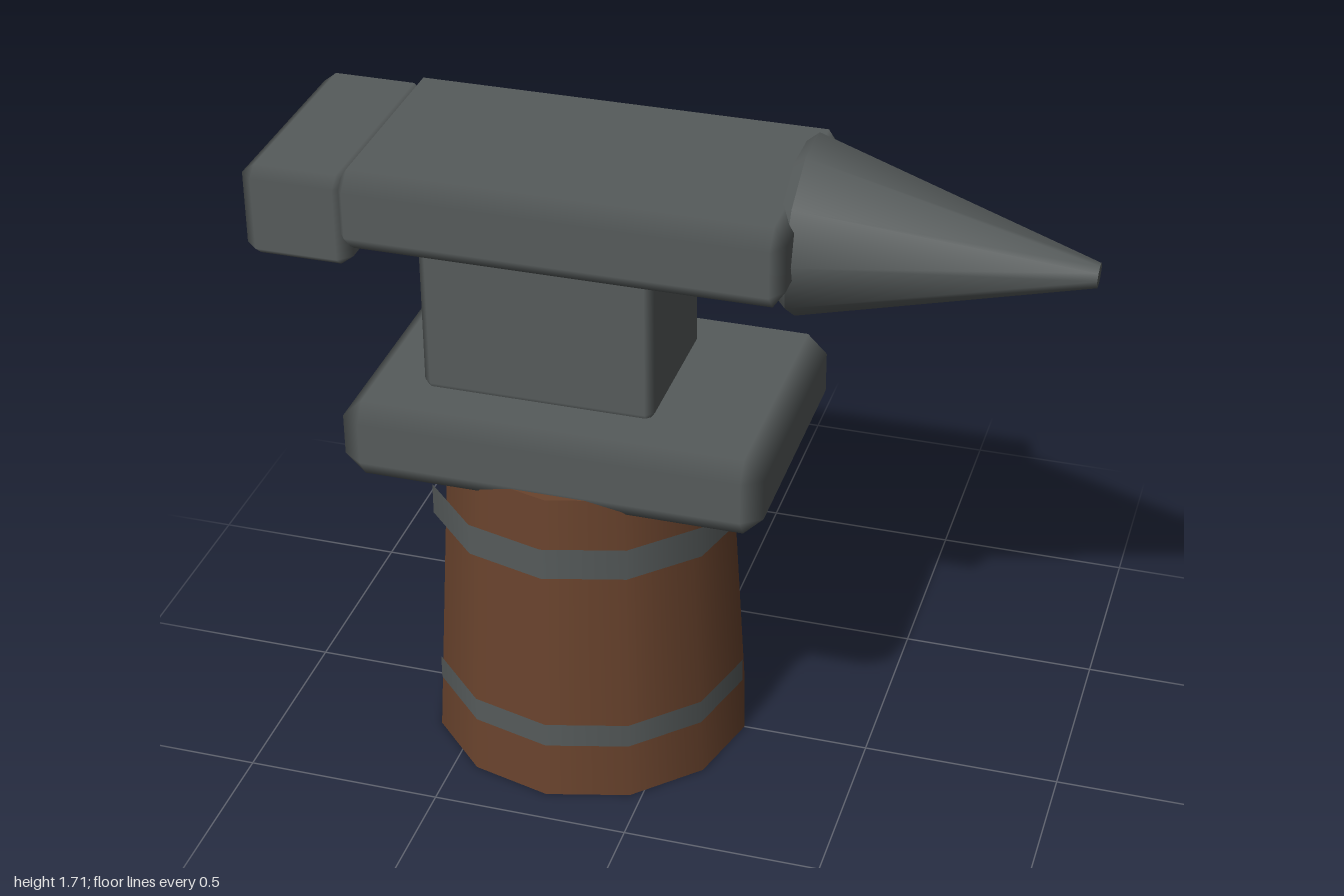
import * as THREE from 'three';

const iron = new THREE.MeshStandardMaterial({ color: 0x565b5b });
iron.name = 'iron';
const wood = new THREE.MeshStandardMaterial({ color: 0x69432d });
wood.name = 'wood';

// Box with one chamfer per edge; flat faces, normals blend across the chamfers.
// min/max are corners, c is the chamfer size along each axis.
function chamferBox(min, max, c) {
  const pos = [], nor = [], index = [];
  const mid = min.map((v, i) => (v + max[i]) / 2);
  const id = (s, axis) => ((s[0] > 0 ? 1 : 0) + (s[1] > 0 ? 2 : 0) + (s[2] > 0 ? 4 : 0)) * 3 + axis;
  for (let k = 0; k < 8; k++) {
    const s = [k & 1 ? 1 : -1, k & 2 ? 1 : -1, k & 4 ? 1 : -1];
    for (let a = 0; a < 3; a++) {
      for (let i = 0; i < 3; i++) {
        pos.push((s[i] > 0 ? max[i] : min[i]) - (i === a ? 0 : s[i] * c[i]));
        nor.push(i === a ? s[i] : 0);
      }
    }
  }
  const at = (i) => new THREE.Vector3().fromArray(pos, i * 3);
  const centre = new THREE.Vector3(...mid);
  const tri = (a, b, d) => {
    const n = at(b).sub(at(a)).cross(at(d).sub(at(a)));
    if (n.dot(at(a).sub(centre)) > 0) index.push(a, b, d);
    else index.push(a, d, b);
  };
  const quad = (a, b, d, e) => { tri(a, b, d); tri(a, d, e); };
  for (let a = 0; a < 3; a++) {
    const u = (a + 1) % 3, v = (a + 2) % 3;
    const sign = (sa, su, sv) => { const s = []; s[a] = sa; s[u] = su; s[v] = sv; return s; };
    for (const p of [-1, 1]) {
      // main face
      quad(id(sign(p, -1, -1), a), id(sign(p, 1, -1), a), id(sign(p, 1, 1), a), id(sign(p, -1, 1), a));
      // chamfers running along axis a
      for (const q of [-1, 1]) {
        quad(id(sign(-1, p, q), u), id(sign(1, p, q), u), id(sign(1, p, q), v), id(sign(-1, p, q), v));
      }
    }
  }
  // corner triangles
  for (let k = 0; k < 8; k++) tri(k * 3, k * 3 + 1, k * 3 + 2);
  const g = new THREE.BufferGeometry();
  g.setAttribute('position', new THREE.Float32BufferAttribute(pos, 3));
  g.setAttribute('normal', new THREE.Float32BufferAttribute(nor, 3));
  g.setIndex(index);
  return g;
}

export function createModel() {
  const model = new THREE.Group();
  model.name = 'anvilOnStump';
  const add = (name, geometry, material, x = 0, y = 0) => {
    const mesh = new THREE.Mesh(geometry, material);
    mesh.name = name;
    mesh.position.set(x, y, 0);
    model.add(mesh);
    return mesh;
  };
  const cx = -0.235;

  // Tapered wooden stump
  add('stump', new THREE.CylinderGeometry(0.36, 0.41, 0.86, 12), wood, cx, 0.43);

  // Iron hoops: open outer shells around the stump
  for (const [name, low, high] of [['lowerHoop', 0.15, 0.215], ['upperHoop', 0.66, 0.745]]) {
    add(name, new THREE.CylinderGeometry(0.403, 0.403, high - low, 12, 1, true), iron, cx, (low + high) / 2);
  }

  // Anvil blocks
  add('base', chamferBox([-0.765, 0.82, -0.342], [0.295, 1.027, 0.342], [0.05, 0.05, 0.035]), iron);
  add('waist', chamferBox([-0.595, 1.01, -0.203], [-0.01, 1.45, 0.203], [0.02, 0.03, 0.02]), iron);
  add('body', chamferBox([-0.765, 1.42, -0.3], [0.325, 1.627, 0.3], [0.03, 0.045, 0.042]), iron);
  add('heel', chamferBox([-1, 1.373, -0.29], [-0.73, 1.608, 0.29], [0.032, 0.025, 0.03]), iron);

  // Horn: ten-sided cone, dipping slightly toward the tip
  const profile = [
    [0, 0], [0.195, 0], [0.195, 0], [0.22, 0.028], [0.22, 0.028],
    [0.03, 0.719], [0.03, 0.719], [0, 0.719],
  ].map(([r, y]) => new THREE.Vector2(r, y));
  const horn = add('horn', new THREE.LatheGeometry(profile, 10), iron, 0.281, 1.505);
  horn.rotation.z = -Math.PI / 2 - 0.042;

  return model;
}
